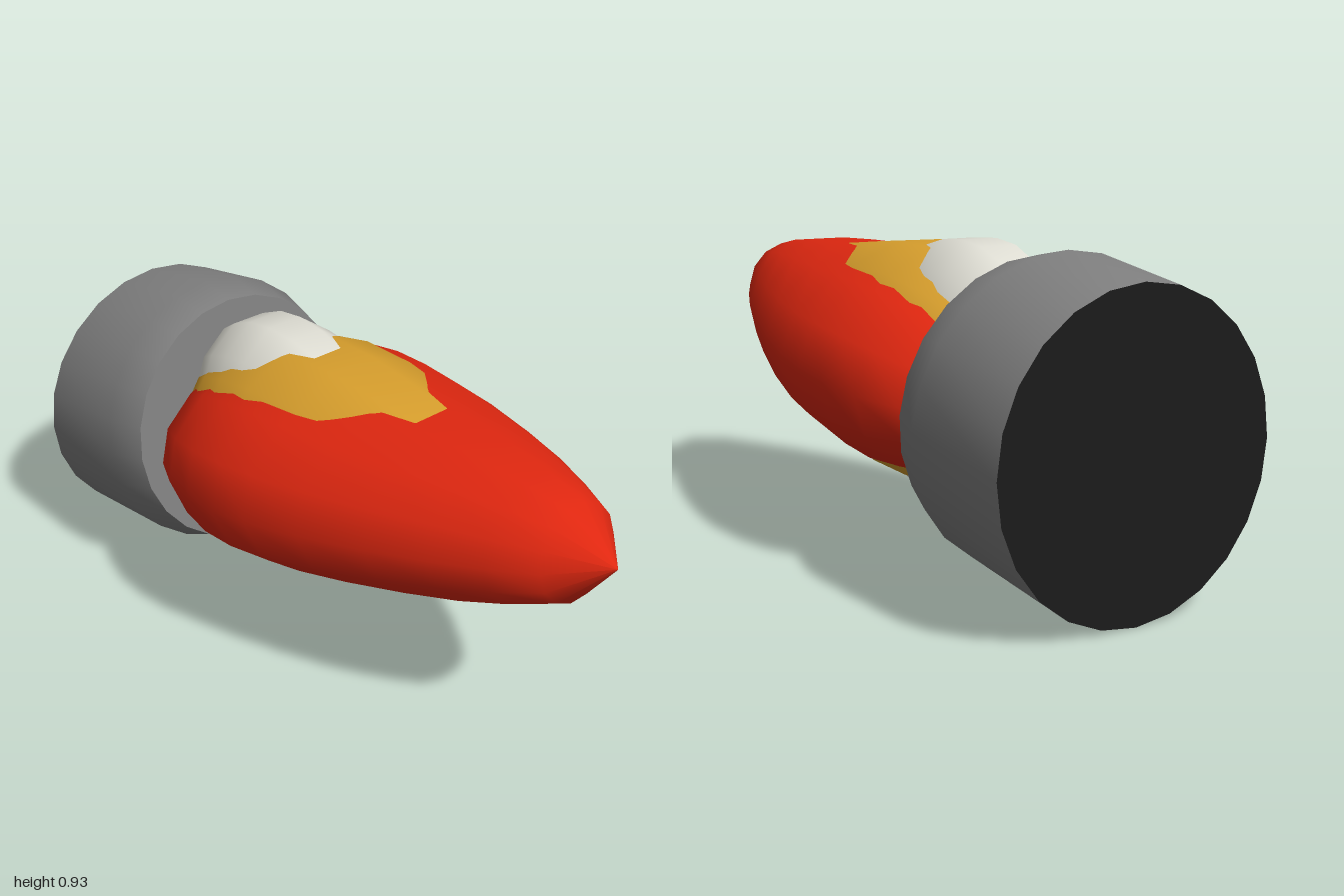
import * as THREE from 'three';

const TILT = Math.atan(0.14); // upward pitch of the flame axis
const axisY = (z) => 0.72 - (1 - z) * 0.14;

// Smooth skin over elliptical rings, listed from front to back.
// Each ring: [z, y, rx, ry, tilt]
function loft(rings, sides) {
  const pos = [];
  const index = [];
  rings.forEach(([z, y, rx, ry, tilt], i) => {
    for (let j = 0; j < sides; j++) {
      const a = (j / sides) * Math.PI * 2;
      const up = ry * Math.sin(a);
      pos.push(rx * Math.cos(a), y + up * Math.cos(tilt), z - up * Math.sin(tilt));
      if (i === rings.length - 1) continue;
      const k = (j + 1) % sides;
      const p = i * sides + j, q = i * sides + k;
      const r = p + sides, s = q + sides;
      index.push(p, r, q, q, r, s);
    }
  });
  const geo = new THREE.BufferGeometry();
  geo.setAttribute('position', new THREE.Float32BufferAttribute(pos, 3));
  geo.setIndex(index);
  geo.computeVertexNormals();
  return geo;
}

function material(name, color) {
  const m = new THREE.MeshStandardMaterial({ color });
  m.name = name;
  return m;
}

export function createModel() {
  const group = new THREE.Group();
  group.name = 'exhaustFlame';
  const add = (name, geo, mat) => {
    const mesh = new THREE.Mesh(geo, mat);
    mesh.name = name;
    group.add(mesh);
  };

  const red = material('flame red', 0xdf2710);
  const amber = material('flame amber', 0xd89f2d);
  const white = material('flame white', 0xe0dfd5);
  const grey = material('nozzle grey', 0x808080);
  const black = material('nozzle black', 0x1b1b1b);

  // Flame layers: each inner layer is narrower but taller, so it breaks through
  // the layer around it. Stations: [z, half width, half height]
  const flame = (name, stations, mat) => add(
    name,
    loft(stations.map(([z, rx, ry]) => [z, axisY(z), rx, ry, TILT]), 14),
    mat,
  );
  flame('outerFlame', [
    [1, 0, 0], [0.87, 0.143, 0.139], [0.74, 0.212, 0.182], [0.6, 0.277, 0.216],
    [0.43, 0.342, 0.245], [0.23, 0.408, 0.274], [0.05, 0.451, 0.298],
    [-0.08, 0.466, 0.31], [-0.21, 0.46, 0.308], [-0.34, 0.43, 0.285],
    [-0.46, 0.37, 0.238], [-0.53, 0.25, 0.16], [-0.56, 0, 0],
  ], red);
  flame('middleFlame', [
    [0.78, 0, 0], [0.68, 0.1, 0.09], [0.52, 0.2, 0.18], [0.36, 0.27, 0.256],
    [0.2, 0.32, 0.294], [0.05, 0.355, 0.33], [-0.15, 0.375, 0.354],
    [-0.3, 0.36, 0.342], [-0.42, 0.32, 0.307], [-0.5, 0.27, 0.265],
    [-0.54, 0.17, 0.16], [-0.56, 0, 0],
  ], amber);
  flame('innerFlame', [
    [0.3, 0, 0], [0.1, 0.16, 0.24], [-0.04, 0.22, 0.335], [-0.15, 0.25, 0.38],
    [-0.25, 0.267, 0.4], [-0.34, 0.267, 0.4], [-0.43, 0.25, 0.375],
    [-0.5, 0.22, 0.34], [-0.54, 0.18, 0.3], [-0.56, 0, 0],
  ], white);

  // Nozzle: upright at the back, pitched with the flame at the mouth
  const mouth = [-0.525, 0.51, 0.403, 0.403, TILT];
  const shoulder = [-0.64, 0.495, 0.44, 0.44, TILT];
  const rear = [-1, 0.44, 0.437, 0.437, 0];
  const centre = ([z, y]) => [z, y, 0, 0, 0];
  add('nozzleWall', loft([mouth, shoulder, rear], 24), grey);
  add('nozzleFace', loft([centre(mouth), mouth], 24), grey);
  add('nozzleBack', loft([rear, centre(rear)], 24), black);

  return group;
}
